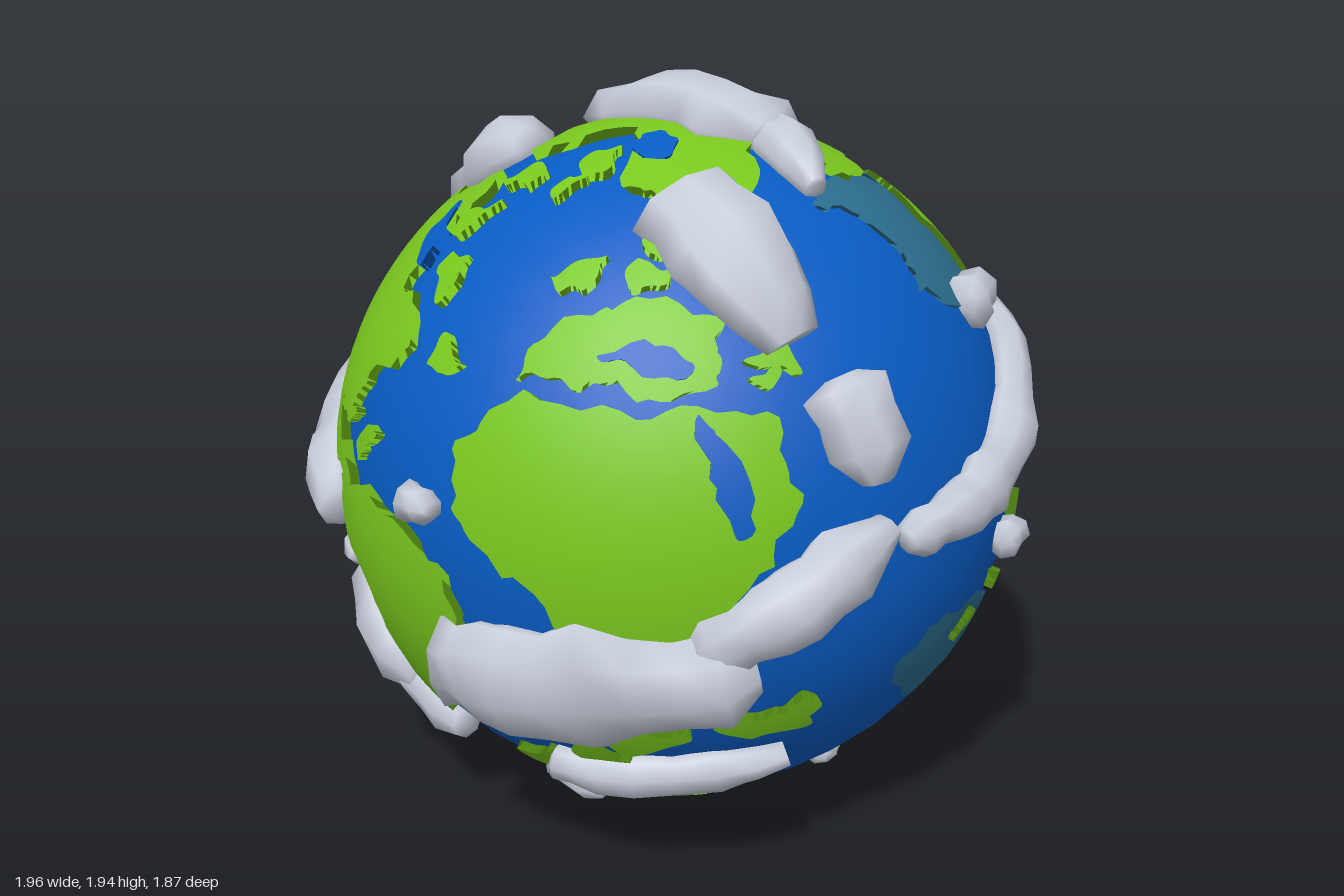
import * as THREE from 'three';

const R = 0.9, CENTER_Y = 0.915;
const mat = (name, color, side = THREE.FrontSide) => {
  const m = new THREE.MeshStandardMaterial({ color, side });
  m.name = name;
  return m;
};

// A drawing plane facing the globe from an azimuth and elevation in degrees.
// It turns a plane point (u, v) into a direction from the globe's centre.
function plane(az, el) {
  const a = THREE.MathUtils.degToRad(az), e = THREE.MathUtils.degToRad(el);
  const right = new THREE.Vector3(Math.cos(a), 0, -Math.sin(a));
  const out = new THREE.Vector3(Math.sin(a) * Math.cos(e), Math.sin(e), Math.cos(a) * Math.cos(e));
  const up = out.clone().cross(right);
  return (u, v) => new THREE.Vector3()
    .addScaledVector(right, u).addScaledVector(up, v)
    .addScaledVector(out, Math.sqrt(Math.max(0, 0.85 - u * u - v * v))).normalize();
}
const front = plane(0, 0), side = plane(90, 0), top = plane(0, 90);
const frontRight = plane(35, 25), backLeft = plane(215, 25), backBelow = plane(140, -30);

// Smooth closed outline through a few points, warped by waves into a ragged coast
function coast(points) {
  const curve = new THREE.CatmullRomCurve3(points.map(([u, v]) => new THREE.Vector3(u, v, 0)), true, 'centripetal');
  const outline = curve.getPoints(points.length * 8).slice(0, -1).map(({ x, y }) => new THREE.Vector2(
    x + 0.012 * Math.sin(37 * y + 15 * x) + 0.008 * Math.sin(85 * y),
    y + 0.012 * Math.sin(35 * x - 13 * y) + 0.008 * Math.sin(80 * x)));
  return THREE.ShapeUtils.isClockWise(outline) ? outline.reverse() : outline;
}

// A patch of the globe's surface inside a coast, with an edge wall
function patch(project, points, radius) {
  const outline = coast(points);
  const flat = new THREE.ShapeGeometry(new THREE.Shape(outline));
  const p = flat.attributes.position, idx = flat.index.array;
  const pos = [], nor = [];
  const emit = (d, r) => { pos.push(d.x * r, d.y * r, d.z * r); nor.push(d.x, d.y, d.z); };
  const split = (t, depth) => {
    const d = t.map(q => project(q.x, q.y));
    const len = [0, 1, 2].map(i => d[i].distanceTo(d[(i + 1) % 3]));
    const i = len.indexOf(Math.max(...len));
    if (len[i] < 0.09 || depth > 12) {
      d.forEach(q => emit(q, radius));
      return;
    }
    const a = t[i], b = t[(i + 1) % 3], c = t[(i + 2) % 3];
    const m = a.clone().add(b).multiplyScalar(0.5);
    split([a, m, c], depth + 1);
    split([m, b, c], depth + 1);
  };
  for (let i = 0; i < idx.length; i += 3) {
    split([0, 1, 2].map(k => new THREE.Vector2(p.getX(idx[i + k]), p.getY(idx[i + k]))), 0);
  }
  outline.forEach((q, i) => {
    const next = outline[(i + 1) % outline.length];
    const a = project(q.x, q.y), b = project(next.x, next.y);
    emit(a, R - 0.01); emit(b, R - 0.01); emit(b, radius);
    emit(a, R - 0.01); emit(b, radius); emit(a, radius);
  });
  const g = new THREE.BufferGeometry();
  g.setAttribute('position', new THREE.Float32BufferAttribute(pos, 3));
  g.setAttribute('normal', new THREE.Float32BufferAttribute(nor, 3));
  return g;
}

// Irregular round island outline
const islet = (u, v, r, stretch) => Array.from({ length: 6 }, (_, i) => {
  const a = i / 6 * Math.PI * 2, k = r * (0.9 + 0.3 * Math.sin(i * 2.7 + u * 20));
  return [u + Math.cos(a) * k * stretch, v + Math.sin(a) * k];
});

// A lumpy cloud lofted over the surface along a spine, narrowing at both ends
function cloudGeometry(project, spine, width) {
  const curve = new THREE.CatmullRomCurve3(spine.map(([u, v]) => project(u, v)));
  const sides = 8, rings = Math.max(4, Math.round(curve.getLength() / 0.08)), pos = [], index = [];
  for (let i = 0; i <= rings; i++) {
    const t = i / rings, taper = 0.4 + 0.6 * Math.pow(Math.sin(Math.PI * t), 0.5);
    const w = width * taper * (1 + 0.14 * Math.sin(i * 2.3));
    const h = Math.min(0.1, 0.02 + w * 0.6);
    const n = curve.getPoint(t).normalize(), c = n.clone().multiplyScalar(R + 0.02);
    const b = curve.getTangent(t).cross(n).normalize();
    for (let s = 0; s < sides; s++) {
      const a = s / sides * Math.PI * 2, j = 1 + 0.09 * Math.sin(s * 1.6 + i * 1.3);
      const q = c.clone().addScaledVector(b, Math.cos(a) * w * j).addScaledVector(n, Math.sin(a) * h * j);
      pos.push(q.x, q.y, q.z);
      if (i < rings) {
        const o = i * sides + s, o2 = i * sides + (s + 1) % sides;
        index.push(o, o + sides, o2, o2, o + sides, o2 + sides);
      }
    }
  }
  for (let s = 1; s < sides - 1; s++) {
    const e = rings * sides;
    index.push(0, s, s + 1, e, e + s + 1, e + s);
  }
  const g = new THREE.BufferGeometry();
  g.setAttribute('position', new THREE.Float32BufferAttribute(pos, 3));
  g.setIndex(index);
  g.computeVertexNormals();
  return g;
}

export function createModel() {
  const model = new THREE.Group();
  const water = mat('ocean blue', 0x085cc4), green = mat('land green', 0x7ac81e, THREE.DoubleSide);
  const teal = mat('shallow water teal', 0x2c7090, THREE.DoubleSide), grey = mat('cloud grey', 0xc6ccd9, THREE.DoubleSide);
  const add = (name, geometry, material) => {
    const mesh = new THREE.Mesh(geometry, material);
    mesh.name = name;
    mesh.position.y = CENTER_Y;
    model.add(mesh);
  };
  const land = (name, project, ...points) => add(name, patch(project, points, R + 0.02), green);
  const lake = (name, project, ...points) => add(name, patch(project, points, R + 0.025), water);
  const shallows = (name, project, ...points) => add(name, patch(project, points, R + 0.006), teal);
  const cloud = (name, project, width, ...spine) => add(name, cloudGeometry(project, spine, width), grey);
  const puff = (name, project, u, v, r) => cloud(name, project, r, [u - r, v], [u + r, v]);
  // A row of islands between two points, weaving and varying in size
  const islands = (name, project, count, size, [u1, v1], [u2, v2]) => {
    for (let i = 0; i < count; i++) {
      const t = i / (count - 1), weave = 0.04 * Math.sin(i * 2.5);
      const u = u1 + (u2 - u1) * t + weave, v = v1 + (v2 - v1) * t - weave;
      const r = size * (1 + 0.25 * Math.sin(i * 4));
      add(name + (i + 1), patch(project, islet(u, v, r, 1.3), R + 0.02), green);
    }
  };

  add('ocean', new THREE.IcosahedronGeometry(R, 6), water);

  // Western continents
  land('northWestContinent', front, [-.56, .56], [-.45, .68], [-.3, .75], [-.17, .78], [-.2, .58], [-.03, .48], [-.19, .33],
    [-.25, .25], [-.39, .22], [-.2, .07], [-.46, .13], [-.57, .34]);
  land('southWestContinent', front, [-.28, .05], [.04, .05], [.25, -.14], [.2, -.3], [.05, -.41], [-.1, -.57], [-.16, -.24], [-.3, -.05]);
  land('westLand', front, [-.85, -.19], [-.76, -.2], [-.6, -.38], [-.75, -.36]);
  land('southLand', front, [-.46, -.75], [-.25, -.75], [-.15, -.85], [-.38, -.81]);

  // Eastern continents
  land('middleContinent', frontRight, [-.31, -.15], [-.2, .01], [.12, .01], [.4, .04], [.49, -.15], [.38, -.37],
    [.17, -.65], [-.08, -.74], [-.03, -.5], [-.26, -.29]);
  land('middleNorthContinent', frontRight, [-.17, .08], [-.1, .17], [.08, .27], [.28, .24], [.26, .06], [.07, .07], [-.06, .07]);
  land('backContinentWest', backLeft, [-.8, .18], [-.55, .6], [-.44, .32], [-.28, .41], [.03, .36], [-.08, .05],
    [.02, -.2], [-.28, -.38], [-.08, -.72], [-.53, -.7], [-.8, -.2]);
  land('backContinentEast', backBelow, [.05, .67], [.18, .84], [.62, .62], [.74, .25], [.53, -.18], [.26, 0], [.24, .2], [.36, .35], [.2, .6]);
  land('backContinentNorth', top, [-.38, .65], [-.25, .5], [.02, .7], [.22, .47], [.32, .48], [.3, .8], [-.25, .84]);
  land('backIsland', backLeft, [.17, .14], [.27, .1], [.26, -.15], [.15, -.16]);

  // Polar land
  land('arcticLand', top, [-.25, 0], [.15, .05], [.4, -.1], [.26, -.35], [.02, -.16], [-.16, -.32]);
  land('arcticCoast', top, [-.08, .38], [.15, .4], [.38, .28], [.35, .18], [.1, .31]);

  // Seas and lakes cutting into the land
  lake('narrowSea', frontRight, [.27, .02], [.31, .01], [.41, -.22], [.37, -.22]);
  lake('innerSea', frontRight, [.04, .14], [.2, .17], [.24, .12], [.1, .11]);
  lake('northWestBay', front, [-.27, .66], [-.22, .71], [-.17, .66], [-.21, .6]);
  lake('arcticBay', top, [.08, -.13], [.2, -.18], [.18, -.26], [.1, -.22]);

  // Island rows
  islands('gulfIsland', front, 3, .028, [-.25, .23], [-.08, .18]);
  islands('northIsland', front, 4, .04, [-.1, .72], [.06, .5]);
  islands('northEastIsland', frontRight, 5, .04, [-.3, .6], [.16, .6]);
  islands('northCape', frontRight, 3, .05, [-.05, .32], [.18, .42]);
  islands('eastCoastIsland', side, 3, .03, [-.44, .5], [-.27, .46]);
  islands('southEastIsland', front, 4, .055, [.28, -.6], [.7, -.35]);
  islands('sideIsland', side, 2, .05, [-.58, -.44], [-.32, -.34]);
  islands('farIsland', side, 3, .032, [.25, -.28], [.56, -.1]);
  islands('backShoreIsland', backBelow, 3, .035, [.06, .02], [.24, -.06]);
  islands('southIsland', backBelow, 5, .045, [-.45, -.7], [.42, -.78]);
  land('lowIsland', backBelow, ...islet(-.15, -.57, .06, 1.2));
  land('distantIsland', backLeft, ...islet(.32, -.61, .04, 1.2));

  // Pale shallow water
  shallows('backShallows', backLeft, [-.77, .25], [-.55, .64], [-.4, .56], [-.25, .44], [0, .54], [.23, .42], [.08, -.15], [-.3, .1]);
  shallows('northShallows', side, [.05, .8], [.2, .7], [.22, .58], [.53, .49], [.4, .76]);
  shallows('southShallows', side, [0, -.32], [.2, -.23], [.43, -.29], [.18, -.48]);

  // Long clouds
  cloud('leftCloud', front, .14, [-.97, .25], [-.75, .06], [-.41, -.08]);
  cloud('lowerLeftCloud', front, .11, [-.88, -.2], [-.6, -.46], [-.07, -.63]);
  cloud('lowerLeftCloudLump', front, .14, [-.58, -.4], [-.25, -.56]);
  cloud('upperLeftCloud', top, .1, [-.88, -.08], [-.62, -.16]);
  cloud('upperLeftCloudLump', top, .14, [-.62, -.17], [-.28, -.27]);
  cloud('rightCloudLump', side, .16, [-.86, -.28], [-.42, -.2]);
  cloud('rightCloud', side, .1, [-.55, -.18], [-.35, -.04], [-.12, .11]);
  cloud('lowerRightCloud', front, .065, [.3, -.58], [.72, -.52]);
  cloud('upperRightCloud', side, .15, [-.29, .8], [-.25, .53]);
  cloud('farRightCloud', side, .08, [-.07, .06], [.28, .13], [.7, .4]);
  cloud('topCloud', top, .19, [-.3, .08], [.25, .09]);
  cloud('topCloudTail', top, .08, [.1, .15], [.46, .05]);
  cloud('backCloud', backLeft, .09, [.18, -.38], [.55, -.38], [.76, -.45]);

  // Small clouds
  cloud('shoulderCloud', side, .11, [-.17, .45], [-.14, .22]);
  cloud('westCloud', front, .08, [-.93, .38], [-.7, .33]);
  puff('lowPuff', front, -.57, -.28, .06);
  puff('middlePuff', front, .14, .12, .05);
  cloud('bottomCloud', front, .05, [-.05, -.83], [.18, -.81]);
  puff('farPuff', side, .44, .5, .07);
  puff('sidePuff', side, .43, -.09, .05);
  puff('southPuff', backBelow, -.15, -.5, .05);
  return model;
}
